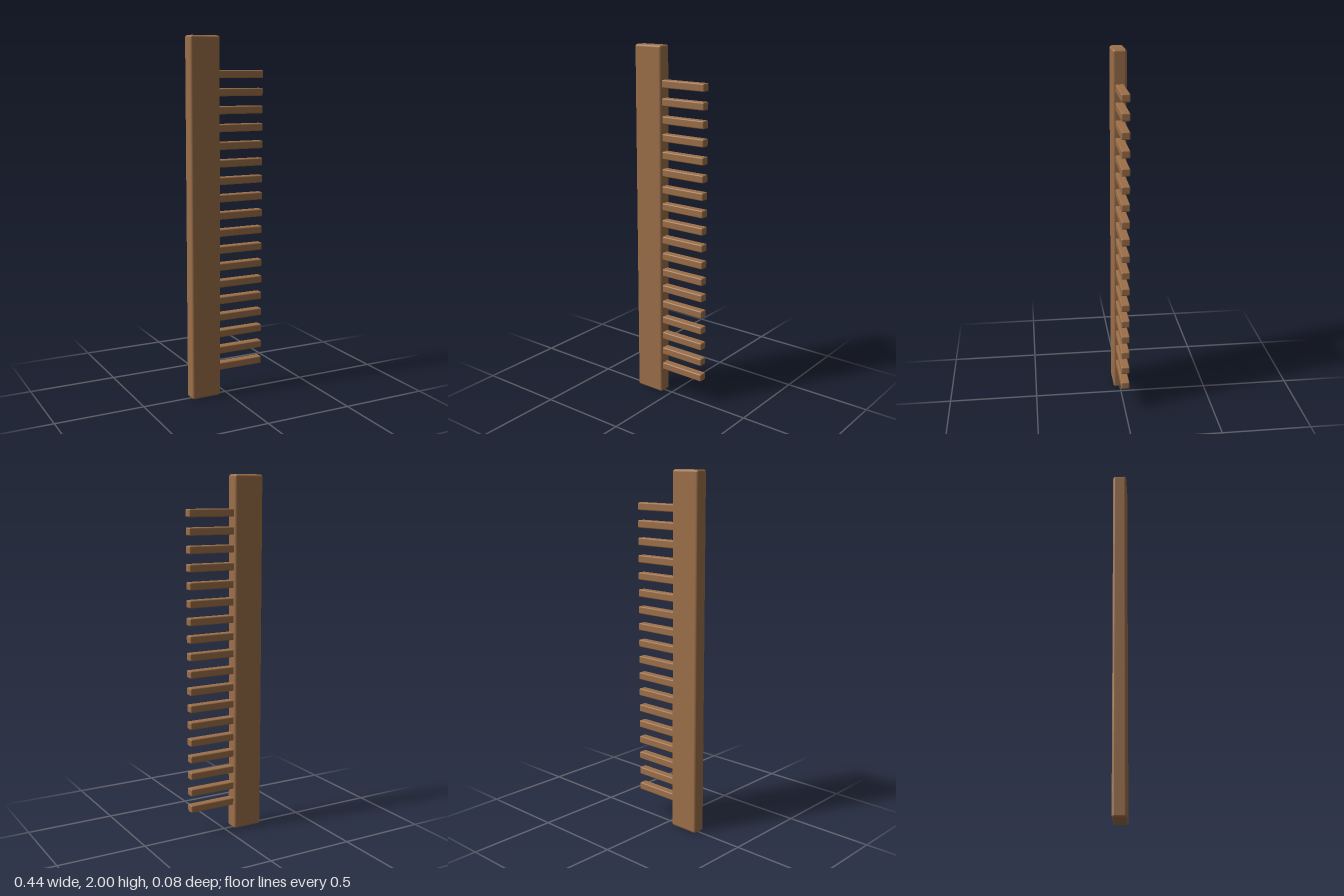
import * as THREE from 'three';
import { RoundedBoxGeometry } from 'three/addons/geometries/RoundedBoxGeometry.js';

const wood = new THREE.MeshStandardMaterial({ color: 0x9c6f49 });
wood.name = 'wood';

export function createModel() {
  const comb = new THREE.Group();
  comb.name = 'comb';

  // Upright spine with softened edges
  const spine = new THREE.Mesh(new RoundedBoxGeometry(0.175, 2, 0.076, 3, 0.013), wood);
  spine.name = 'spine';
  spine.position.set(-0.1345, 1, 0);
  comb.add(spine);

  // Row of evenly spaced teeth, rooted slightly inside the spine
  const count = 18, firstY = 0.164, lastY = 1.798;
  const root = -0.07, tip = 0.222;
  const toothGeometry = new RoundedBoxGeometry(tip - root, 0.043, 0.047, 3, 0.007);
  const teeth = new THREE.Group();
  teeth.name = 'teeth';
  for (let i = 0; i < count; i++) {
    const tooth = new THREE.Mesh(toothGeometry, wood);
    tooth.name = `tooth${i + 1}`;
    tooth.position.set((root + tip) / 2, THREE.MathUtils.lerp(firstY, lastY, i / (count - 1)), 0);
    teeth.add(tooth);
  }
  comb.add(teeth);
  return comb;
}
